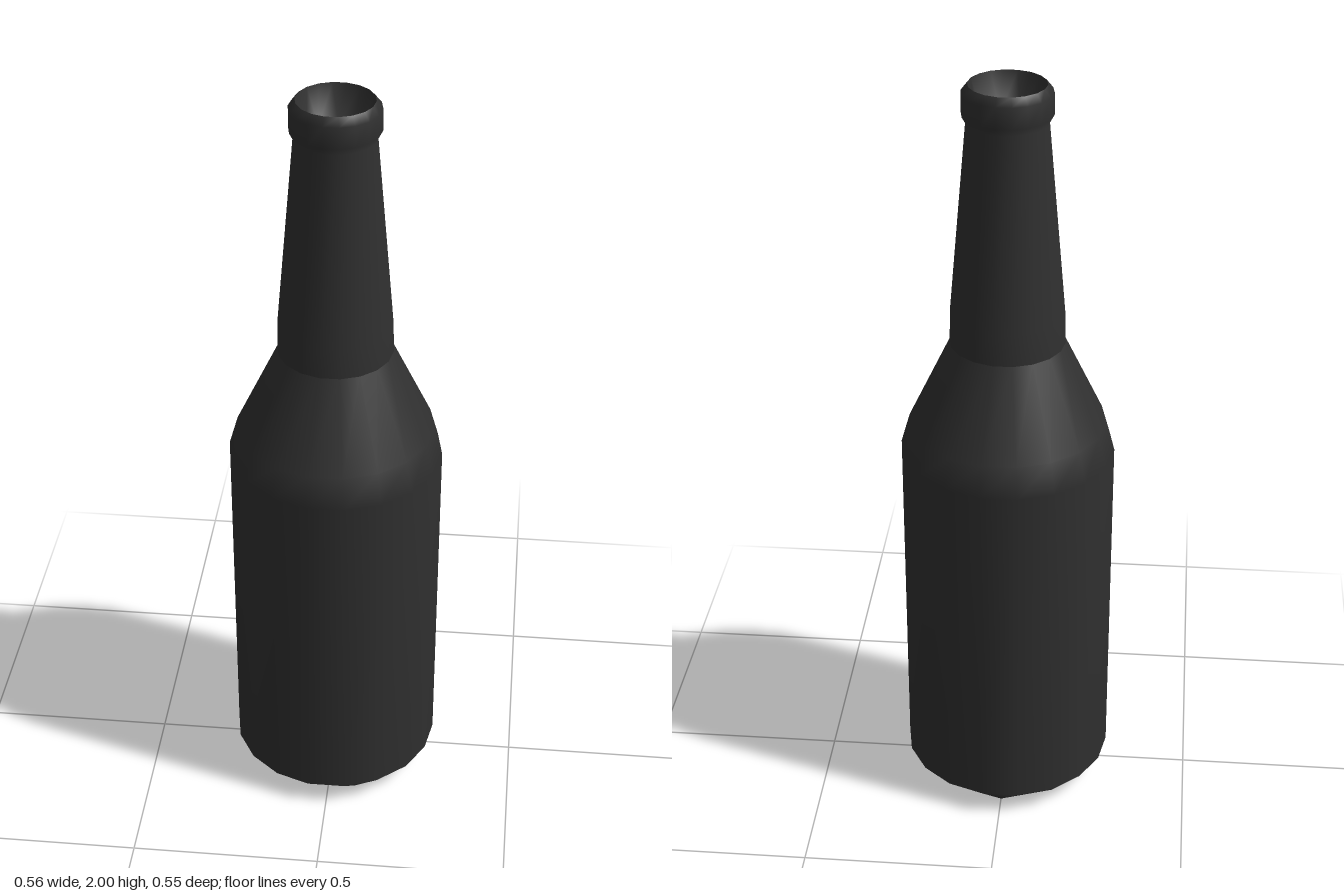
import * as THREE from 'three';
import { mergeVertices } from 'three/addons/utils/BufferGeometryUtils.js';

const SIDES = 18;

// One horizontal loop; a half loop has 9 corners, each shared by two neighbours.
function ring(radius, y, half) {
  return Array.from({ length: SIDES }, (_, i) => {
    const a = THREE.MathUtils.degToRad(half ? 40 * Math.floor(i / 2) + 10 : 20 * i);
    return [radius * Math.cos(a), y, -radius * Math.sin(a)];
  });
}

// Smooth skin over loops, listed so that the surface faces outward going up.
function skin(name, profile, material) {
  const loops = profile.map(([r, y, half]) => ring(r, y, half));
  const index = [];
  for (let j = 0; j < loops.length - 1; j++) {
    for (let i = 0; i < SIDES; i++) {
      const n = (i + 1) % SIDES;
      const a = j * SIDES + i, b = j * SIDES + n;
      index.push(a, b, b + SIDES, a, b + SIDES, a + SIDES);
    }
  }
  let geometry = new THREE.BufferGeometry();
  geometry.setAttribute('position', new THREE.Float32BufferAttribute(loops.flat(2), 3));
  geometry.setIndex(index);
  geometry = mergeVertices(geometry, 1e-5);

  // Drop triangles that collapsed where corners are shared
  const merged = Array.from(geometry.index.array);
  const kept = [];
  for (let i = 0; i < merged.length; i += 3) {
    const [a, b, c] = merged.slice(i, i + 3);
    if (a !== b && b !== c && c !== a) kept.push(a, b, c);
  }
  geometry.setIndex(kept);
  geometry.computeVertexNormals();
  const mesh = new THREE.Mesh(geometry, material);
  mesh.name = name;
  return mesh;
}

export function createModel() {
  const bottle = new THREE.Group();
  bottle.name = 'bottle';
  const glass = new THREE.MeshStandardMaterial({ color: 0x303030 });

  // Flat nine-sided underside
  bottle.add(skin('base', [[0, 0, true], [0.213, 0, true]], glass));

  // Chamfered foot, straight body and sloping shoulder
  bottle.add(skin('body', [
    [0.213, 0, true], [0.279, 0.067], [0.279, 1.01], [0.256, 1.09], [0.148, 1.317],
  ], glass));

  // Tapering neck with a rounded lip
  bottle.add(skin('neck', [
    [0.148, 1.317], [0.146, 1.4], [0.102, 1.905], [0.113, 1.925], [0.113, 1.98], [0.097, 2],
  ], glass));

  // Recessed mouth with a nine-sided floor
  bottle.add(skin('mouth', [[0.097, 2], [0.072, 1.9, true], [0, 1.9, true]], glass));

  return bottle;
}
